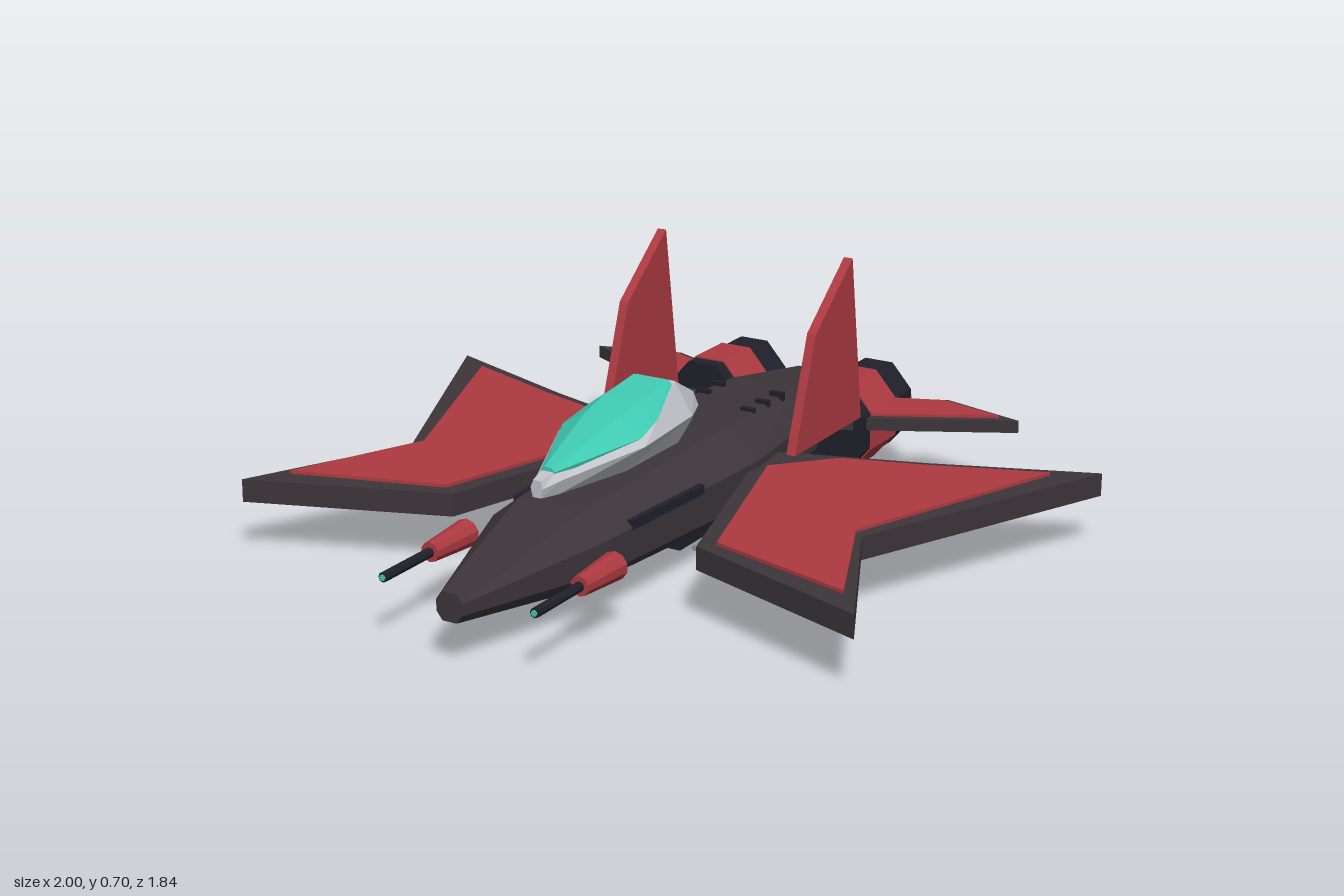
import * as THREE from 'three';

const mat = (name, color) => {
  const m = new THREE.MeshStandardMaterial({ color, flatShading: true });
  m.name = name;
  return m;
};

export function createModel() {
  const root = new THREE.Group();
  root.name = 'starfighter';
  const hull = mat('dark hull', 0x3c353a);
  const red = mat('red panel', 0xad3a41);
  const black = mat('blue black metal', 0x20202b);
  const silver = mat('pale cockpit grey', 0xc2c3c9);
  const steel = mat('steel', 0x8b8e92);
  const cyan = mat('cyan glow', 0x3fc9b2);

  const add = (name, geo, material, x = 0, y = 0, z = 0, parent = root) => {
    const m = new THREE.Mesh(geo, material);
    m.name = name;
    m.position.set(x, y, z);
    parent.add(m);
    return m;
  };

  // Skin over cross-sections listed from front to back, each anticlockwise seen from the front
  const loft = (sections) => {
    const pos = [], n = sections[0].pts.length;
    const v = (s, i) => pos.push(s.pts[i % n][0], s.pts[i % n][1], s.z);
    for (let k = 0; k < sections.length - 1; k++) {
      const a = sections[k], b = sections[k + 1];
      for (let i = 0; i < n; i++) {
        v(a, i); v(b, i); v(b, i + 1);
        v(a, i); v(b, i + 1); v(a, i + 1);
      }
    }
    const first = sections[0], last = sections[sections.length - 1];
    for (let i = 1; i < n - 1; i++) {
      v(first, 0); v(first, i); v(first, i + 1);
      v(last, 0); v(last, i + 1); v(last, i);
    }
    const g = new THREE.BufferGeometry();
    g.setAttribute('position', new THREE.Float32BufferAttribute(pos, 3));
    g.computeVertexNormals();
    return g;
  };
  // Horizontal plate from [x, z] corners
  const plate = (pts, side, depth) => {
    const s = new THREE.Shape(pts.map(([x, z]) => new THREE.Vector2(x * side, -z)));
    return new THREE.ExtrudeGeometry(s, { depth, bevelEnabled: false }).rotateX(-Math.PI / 2);
  };
  // Cylinder lying along z
  const rod = (rFront, rBack, length, sides) =>
    new THREE.CylinderGeometry(rFront, rBack, length, sides).rotateX(Math.PI / 2);

  // Fuselage: eight-sided sections [z, half width, bottom, top]
  const body = [
    [0.92, 0.037, 0.118, 0.192], [0.48, 0.17, 0.07, 0.275], [-0.2, 0.21, 0.04, 0.3],
    [-0.6, 0.17, 0.06, 0.29], [-0.9, 0.09, 0.085, 0.25],
  ].map(([z, w, b, t]) => {
    const lo = b + (t - b) * 0.3, hi = b + (t - b) * 0.7, c = w * 0.55;
    return { z, pts: [[c, b], [w, lo], [w, hi], [c, t], [-c, t], [-w, hi], [-w, lo], [-c, b]] };
  });
  add('fuselage', loft(body), hull);

  // Cockpit tub: [z, bottom half width, bottom, middle half width, middle, top half width, top]
  const six = ([z, bw, b, w, m, tw, t]) =>
    ({ z, pts: [[bw, b], [w, m], [tw, t], [-tw, t], [-w, m], [-bw, b]] });
  add('cockpitTub', loft([
    [0.54, 0.012, 0.31, 0.018, 0.335, 0.01, 0.355],
    [0.48, 0.025, 0.305, 0.038, 0.345, 0.018, 0.365],
    [0.24, 0.07, 0.3, 0.128, 0.375, 0.05, 0.42],
    [-0.02, 0.07, 0.3, 0.112, 0.38, 0.058, 0.465],
    [-0.13, 0.045, 0.325, 0.066, 0.37, 0.05, 0.405],
  ].map(six)), silver);
  // Canopy glass sits over the tub
  add('canopyGlass', loft([
    [0.49, 0.016, 0.35, 0.02, 0.364, 0.01, 0.374],
    [0.24, 0.06, 0.36, 0.116, 0.395, 0.048, 0.437],
    [0.15, 0.06, 0.37, 0.108, 0.415, 0.052, 0.455],
    [0, 0.04, 0.42, 0.063, 0.462, 0.052, 0.472],
  ].map(six)), cyan);

  // Belly hatch
  add('bellyHatch', new THREE.BoxGeometry(0.2, 0.035, 0.3), black, 0, 0.037, -0.13);

  const wing = [[0.17, -0.3], [0.22, -0.34], [0.58, -0.455], [1, -0.615], [0.675, 0.12],
    [0.89, 0.575], [0.36, 0.385], [0.205, -0.15], [0.17, -0.15]];
  const wingRed = [[0.235, -0.2], [0.37, -0.35], [0.58, -0.415], [0.89, -0.53], [0.65, 0.1],
    [0.81, 0.475], [0.4, 0.355]];
  const tail = [[0.18, -0.56], [0.67, -0.82], [0.43, -0.885], [0.25, -0.81], [0.18, -0.8]];
  const tailRed = [[0.26, -0.625], [0.615, -0.812], [0.43, -0.858], [0.26, -0.79]];
  const fin = [[-0.23, 0.24], [-0.335, 0.545], [-0.535, 0.703], [-0.605, 0.24]];

  for (const [side, label] of [[1, 'left'], [-1, 'right']]) {
    const half = new THREE.Group();
    half.name = label + 'Side';
    root.add(half);
    const put = (name, geo, m, x, y, z) => add(name, geo, m, x * side, y, z, half);

    // Wings and tailplanes with red top panels
    put('wing', plate(wing, side, 0.062), hull, 0, 0.142, 0);
    put('wingPanel', plate(wingRed, side, 0.009), red, 0, 0.204, 0);
    put('tailplane', plate(tail, side, 0.035), hull, 0, 0.197, 0);
    put('tailplanePanel', plate(tailRed, side, 0.008), red, 0, 0.232, 0);

    // Upright fin
    const finGeo = new THREE.ExtrudeGeometry(
      new THREE.Shape(fin.map(([z, y]) => new THREE.Vector2(z, y))),
      { depth: 0.026, bevelEnabled: false }).rotateY(-Math.PI / 2).translate(0.013, 0, 0);
    put('fin', finGeo, red, 0.287, 0, 0);

    // Engine: eight-sided bands [name, front z, back z, scale, material]
    for (const [name, z0, z1, k, m] of [['engineIntake', -0.61, -0.652, 0.97, black],
      ['engineBand', -0.65, -0.8, 1, red], ['engineShroud', -0.798, -0.908, 0.93, black]]) {
      const r = k / Math.cos(Math.PI / 8);
      const g = rod(r, r, z0 - z1, 8).rotateZ(Math.PI / 8).scale(0.11, 0.126, 1);
      put(name, g, m, 0.2, 0.188, (z0 + z1) / 2);
    }
    // Nozzle ring, glow and spokes
    put('nozzleRing', new THREE.TorusGeometry(0.097, 0.01, 6, 28), steel, 0.2, 0.19, -0.91);
    put('nozzleGlow', rod(0.06, 0.06, 0.008, 20), cyan, 0.2, 0.19, -0.909);
    for (let i = 0; i < 10; i++) {
      const spoke = new THREE.BoxGeometry(0.026, 0.008, 0.008).translate(0.078, 0, 0)
        .rotateZ(i * Math.PI / 5);
      put('nozzleSpoke', spoke, steel, 0.2, 0.19, -0.908);
    }

    // Nose gun
    put('gunHousing', rod(0.026, 0.037, 0.16, 10), red, 0.217, 0.174, 0.61);
    put('gunBarrel', rod(0.013, 0.013, 0.2, 8), black, 0.217, 0.174, 0.785);
    put('gunTip', rod(0.008, 0.008, 0.006, 8), cyan, 0.217, 0.174, 0.886);

    // Side strip, deck vents and skid
    const strip = put('sideStrip', new THREE.BoxGeometry(0.016, 0.025, 0.32), black, 0.178, 0.22, 0.22);
    strip.rotation.y = -side * 0.06;
    for (const z of [-0.35, -0.43, -0.51])
      put('deckVent', new THREE.BoxGeometry(0.04, 0.025, 0.016), black, 0.092, 0.292, z);
    put('skid', rod(0.008, 0.008, 0.18, 8), steel, 0.108, 0.008, -0.13);
  }
  return root;
}
